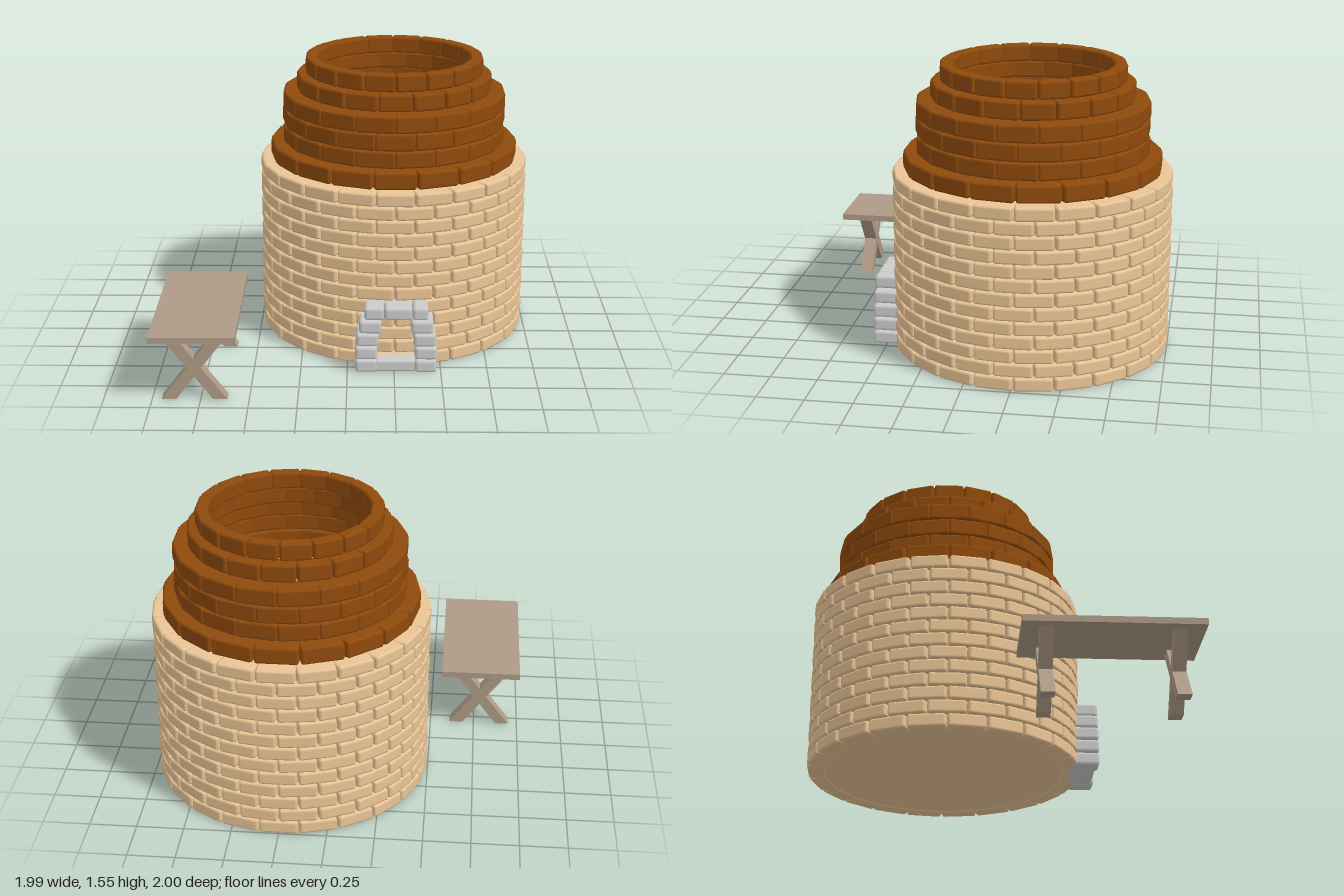
import * as THREE from 'three';
import { RoundedBoxGeometry } from 'three/addons/geometries/RoundedBoxGeometry.js';
import { mergeGeometries } from 'three/addons/utils/BufferGeometryUtils.js';

const mat = (color) => new THREE.MeshStandardMaterial({ color });
const tan = mat(0xeac596);
const brown = mat(0x8f4a0c);
const stone = mat(0xcccccc);
const wood = mat(0xae9a86);

function mesh(name, geometry, material) {
  const m = new THREE.Mesh(geometry, material);
  m.name = name;
  return m;
}

// Rounded block given by its min and max corners
function block(x0, x1, y0, y1, z0, z1, radius = 0.014) {
  const g = new RoundedBoxGeometry(x1 - x0, y1 - y0, z1 - z0, 1, radius);
  return g.translate((x0 + x1) / 2, (y0 + y1) / 2, (z0 + z1) / 2);
}

// One ring of straight bricks; the joints open like wedges towards the outside
function brickRing(count, outer, depth, y0, y1, phase, tight) {
  const width = 2 * Math.tan(Math.PI / count) * (outer - tight);
  const bricks = [];
  for (let i = 0; i < count; i++) {
    const brick = block(-width / 2, width / 2, y0, y1, outer - depth, outer);
    bricks.push(brick.rotateY(((i + phase) / count) * Math.PI * 2));
  }
  return mergeGeometries(bricks);
}

function createTower() {
  const tower = new THREE.Group();
  tower.name = 'tower';

  // Solid core behind the pale bricks; its top is the floor of the chimney
  const core = new THREE.CylinderGeometry(0.705, 0.705, 0.955, 48).translate(0, 0.4875, 0);
  tower.add(mesh('core', core, tan));

  // Pale brick courses
  const rows = 13, rowHeight = 0.075;
  for (let i = 0; i < rows; i++) {
    const y = 0.003 + i * rowHeight;
    const ring = brickRing(22, 0.74, 0.1, y, y + rowHeight - 0.003, (i % 2) / 2, 0.045);
    tower.add(mesh('paleCourse' + (i + 1), ring, tan));
  }

  // Brown stepped chimney: outer radius, brick depth, joint tightness
  const steps = [
    [0.68, 0.12, 0.04],
    [0.612, 0.1, 0.005],
    [0.612, 0.1, 0.005],
    [0.612, 0.12, 0.005],
    [0.535, 0.09, 0.035],
    [0.488, 0.07, 0.03],
  ];
  steps.forEach(([outer, depth, tight], i) => {
    const y = 0.978 + i * 0.0955;
    const ring = brickRing(18, outer, depth, y, y + 0.094, (i % 2) / 2, tight);
    tower.add(mesh('chimneyCourse' + (i + 1), ring, brown));
  });

  tower.position.set(0.25, 0, -0.26);
  return tower;
}

function createArch() {
  const arch = new THREE.Group();
  arch.name = 'hearthArch';
  const center = 0.26, back = 0.4, front = 0.575;

  // Pillars lean in towards the top; each row is [inner, outer] from the middle
  const rows = [[0.1, 0.218], [0.1, 0.218], [0.093, 0.213], [0.078, 0.198]];
  for (const side of [-1, 1]) {
    const stones = rows.map(([inner, outer], i) => {
      const a = center + side * inner, b = center + side * outer;
      const y = 0.003 + i * 0.0745;
      return block(Math.min(a, b), Math.max(a, b), y, y + 0.073, back, front, 0.018);
    });
    arch.add(mesh(side < 0 ? 'rightPillar' : 'leftPillar', mergeGeometries(stones), stone));
  }

  // Lintel stones
  const lintel = [[0.09, 0.195], [0.195, 0.345], [0.345, 0.43]].map(
    ([a, b]) => block(a, b, 0.303, 0.376, back, front, 0.018));
  arch.add(mesh('lintel', mergeGeometries(lintel), stone));

  arch.add(mesh('sill', block(0.15, 0.37, 0.003, 0.068, back, 0.56), stone));
  return arch;
}

function createTable() {
  const table = new THREE.Group();
  table.name = 'table';
  const top = new THREE.BoxGeometry(0.44, 0.034, 0.91).translate(0, 0.373, 0);
  table.add(mesh('tableTop', top, wood));

  // Crossed legs: each bar is a slanted strip cut flat at floor and top
  for (const end of [-1, 1]) {
    const bars = [-1, 1].map((lean) => {
      const bar = new THREE.Shape([
        new THREE.Vector2(-lean * 0.132 - 0.037, 0.008),
        new THREE.Vector2(-lean * 0.132 + 0.037, 0.008),
        new THREE.Vector2(lean * 0.132 + 0.037, 0.357),
        new THREE.Vector2(lean * 0.132 - 0.037, 0.357),
      ]);
      const depth = 0.07 + lean * 0.001;
      return new THREE.ExtrudeGeometry(bar, { depth, bevelEnabled: false })
        .translate(0, 0, end * 0.33 - depth / 2);
    });
    table.add(mesh(end < 0 ? 'backLegs' : 'frontLegs', mergeGeometries(bars), wood));
  }
  table.position.set(-0.78, 0, 0.545);
  return table;
}

export function createModel() {
  const model = new THREE.Group();
  model.name = 'brickKiln';
  model.add(createTower(), createArch(), createTable());
  return model;
}
